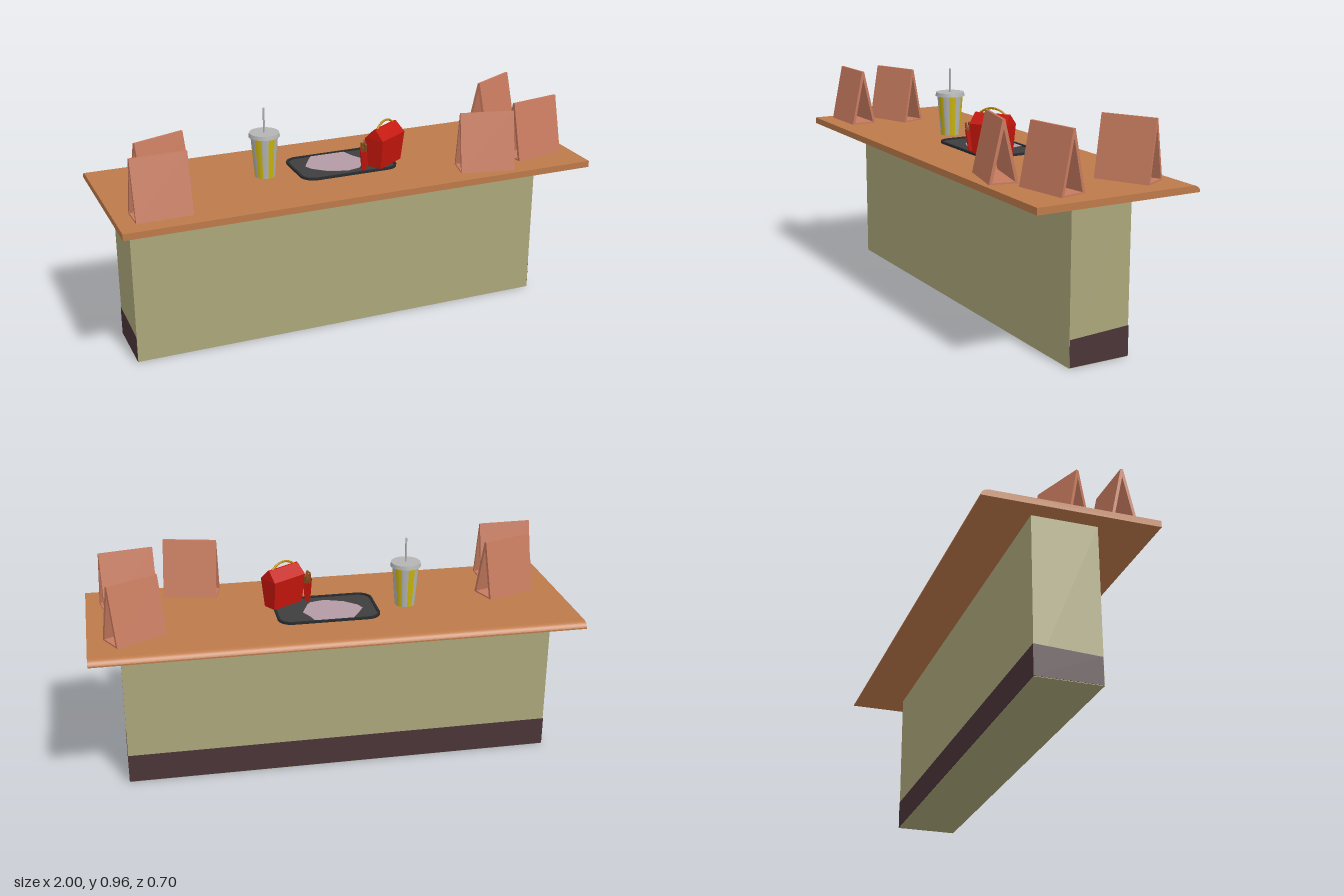
import * as THREE from 'three';

const mat = (color, flat = false) =>
  new THREE.MeshStandardMaterial({ color, flatShading: flat, side: THREE.DoubleSide });
const wood = mat(0xbd7a4a), olive = mat(0xaba67a), kick = mat(0x4a3438), card = mat(0xc67a5e, true);
const red = mat(0xc5160c, true), mustard = mat(0xb8860b), yellow = mat(0xc9b40c), grey = mat(0xb4b4b4);
const dark = mat(0x3e3e3e), rimDark = mat(0x272b2d), paperMat = mat(0xb39ba4), fryMat = mat(0x8a4a1c, true);

function add(parent, name, geometry, material, x = 0, y = 0, z = 0) {
  const mesh = new THREE.Mesh(geometry, material);
  mesh.name = name;
  mesh.position.set(x, y, z);
  parent.add(mesh);
  return mesh;
}

function group(parent, name, x, y, z, turn = 0) {
  const g = new THREE.Group();
  g.name = name;
  g.position.set(x, y, z);
  g.rotation.y = turn;
  parent.add(g);
  return g;
}

const polygon = (points) => new THREE.Shape(points.map(([x, y]) => new THREE.Vector2(x, y)));

// Prism along x; the profile's horizontal axis becomes -z
function prism(shape, length) {
  return new THREE.ExtrudeGeometry(shape, { depth: length, bevelEnabled: false })
    .translate(0, 0, -length / 2).rotateY(Math.PI / 2);
}

// Rectangular loft through levels of [y, half length, half depth]
function loft(levels, capped = true) {
  const rings = levels.map(([y, l, d]) => [[l, y, d], [l, y, -d], [-l, y, -d], [-l, y, d]]);
  const pos = [];
  const quad = (a, b, c, d) => pos.push(...a, ...b, ...c, ...a, ...c, ...d);
  for (let k = 0; k + 1 < rings.length; k++) {
    for (let i = 0; i < 4; i++) {
      const j = (i + 1) % 4;
      quad(rings[k][i], rings[k][j], rings[k + 1][j], rings[k + 1][i]);
    }
  }
  quad(...[...rings[0]].reverse());
  if (capped) quad(...rings[rings.length - 1]);
  const g = new THREE.BufferGeometry();
  g.setAttribute('position', new THREE.Float32BufferAttribute(pos, 3));
  g.computeVertexNormals();
  return g;
}

function roundedRect(w, h, r) {
  const s = new THREE.Shape();
  s.absarc(w / 2 - r, h / 2 - r, r, 0, Math.PI / 2);
  s.absarc(-w / 2 + r, h / 2 - r, r, Math.PI / 2, Math.PI);
  s.absarc(-w / 2 + r, -h / 2 + r, r, Math.PI, Math.PI * 1.5);
  s.absarc(w / 2 - r, -h / 2 + r, r, Math.PI * 1.5, Math.PI * 2);
  s.closePath();
  return s;
}

const flatPlate = (shape, height) =>
  new THREE.ExtrudeGeometry(shape, { depth: height, bevelEnabled: false, curveSegments: 8 }).rotateX(-Math.PI / 2);

function addCounter(root) {
  add(root, 'counterBody', new THREE.BoxGeometry(1.8, 0.64, 0.262), olive, -0.027, 0.32, -0.005);
  // Kick band wraps the back and both ends, rising slightly toward the back
  const band = new THREE.BoxGeometry(1.803, 0.115, 0.262);
  const p = band.attributes.position;
  for (let i = 0; i < p.count; i++) {
    if (p.getY(i) > 0) p.setY(i, p.getY(i) - 0.013 * p.getZ(i) / 0.262 + 0.0005);
  }
  add(root, 'kickBand', band, kick, -0.027, 0.0595, -0.0065);
  // Worktop with a rounded back edge
  const profile = new THREE.Shape();
  profile.moveTo(-0.35, 0.64);
  profile.lineTo(0.35, 0.64);
  profile.lineTo(0.35, 0.646);
  profile.quadraticCurveTo(0.343, 0.665, 0.322, 0.667);
  profile.lineTo(-0.35, 0.667);
  profile.closePath();
  add(root, 'worktop', prism(profile, 2), wood);
}

function addTentCards(root) {
  const shape = polygon([[-0.057, 0], [0.057, 0], [0.005, 0.24], [-0.005, 0.24]]);
  shape.holes.push(new THREE.Path([[-0.044, 0.006], [0, 0.205], [0.044, 0.006]].map(([x, y]) => new THREE.Vector2(x, y))));
  const geometry = prism(shape, 0.225);
  const places = [[0.55, 0.257, -0.23], [0.82, 0.178, 0.18], [0.81, -0.162, 0.49], [-0.77, 0.037, 0.35], [-0.822, 0.23, 0.02]];
  for (const [x, z, turn] of places) add(root, 'tentCard', geometry, card, x, 0.672, z).rotation.y = turn;
}

function addCup(root) {
  const cup = group(root, 'drinkCup', -0.32, 0.667, -0.014);
  const stripes = 12, step = Math.PI * 2 / stripes;
  for (let i = 0; i < stripes; i++) {
    add(cup, 'cupStripe', new THREE.CylinderGeometry(0.056, 0.042, 0.174, 4, 1, true, i * step, step),
      i % 2 ? grey : yellow, 0, 0.087, 0);
  }
  add(cup, 'cupBottom', new THREE.CylinderGeometry(0.042, 0.042, 0.002, 24), grey, 0, 0.001, 0);
  add(cup, 'cupLid', new THREE.CylinderGeometry(0.061, 0.064, 0.016, 32), grey, 0, 0.18, 0);
  add(cup, 'straw', new THREE.CylinderGeometry(0.004, 0.004, 0.11, 10), grey, 0, 0.236, 0);
}

function addTray(root) {
  const tray = group(root, 'tray', 0.018, 0.667, -0.015);
  add(tray, 'trayFloor', flatPlate(roundedRect(0.41, 0.255, 0.05), 0.003), dark);
  const rim = roundedRect(0.426, 0.27, 0.058);
  rim.holes.push(roundedRect(0.406, 0.25, 0.048));
  add(tray, 'trayRim', flatPlate(rim, 0.009), rimDark);
  // Crumpled-edge paper liner, listed as x and -z
  const sheet = polygon([[-0.07, 0.143], [0.08, 0.143], [0.095, 0.09], [0.118, 0.04], [0.085, -0.04], [0.07, -0.06],
    [0.01, -0.075], [-0.07, -0.045], [-0.12, 0], [-0.135, 0.035], [-0.11, 0.08]].reverse());
  add(root, 'paperLiner', flatPlate(sheet, 0.001), paperMat, 0, 0.671, 0);
}

function addMeal(root) {
  const box = group(root, 'mealBox', 0.184, 0.677, 0.058, 0.57);
  add(box, 'boxBody', loft([[0, 0.076, 0.031], [0.123, 0.083, 0.044], [0.165, 0.078, 0.004]]), red);
  const arch = new THREE.QuadraticBezierCurve3(
    new THREE.Vector3(-0.062, 0.16, 0), new THREE.Vector3(0, 0.212, 0), new THREE.Vector3(0.062, 0.16, 0));
  add(box, 'boxHandle', new THREE.TubeGeometry(arch, 16, 0.0045, 8), mustard);

  // Carton of fries, seen narrow side to the front
  const fries = group(root, 'friesCarton', 0.076, 0.674, 0.088, 1.25);
  add(fries, 'carton', loft([[0, 0.02, 0.009], [0.085, 0.032, 0.014]], false), red);
  for (let i = 0; i < 10; i++) {
    const u = (i % 5) - 2, row = i < 5 ? -1 : 1;
    const fry = add(fries, 'fry', new THREE.BoxGeometry(0.008, 0.06 + 0.008 * ((i * 3) % 4), 0.008), fryMat,
      u * 0.012, 0.076, row * 0.006);
    fry.rotation.z = -u * 0.1;
  }
}

export function createModel() {
  const root = new THREE.Group();
  root.name = 'servingCounter';
  addCounter(root);
  addTentCards(root);
  addCup(root);
  addTray(root);
  addMeal(root);
  return root;
}
